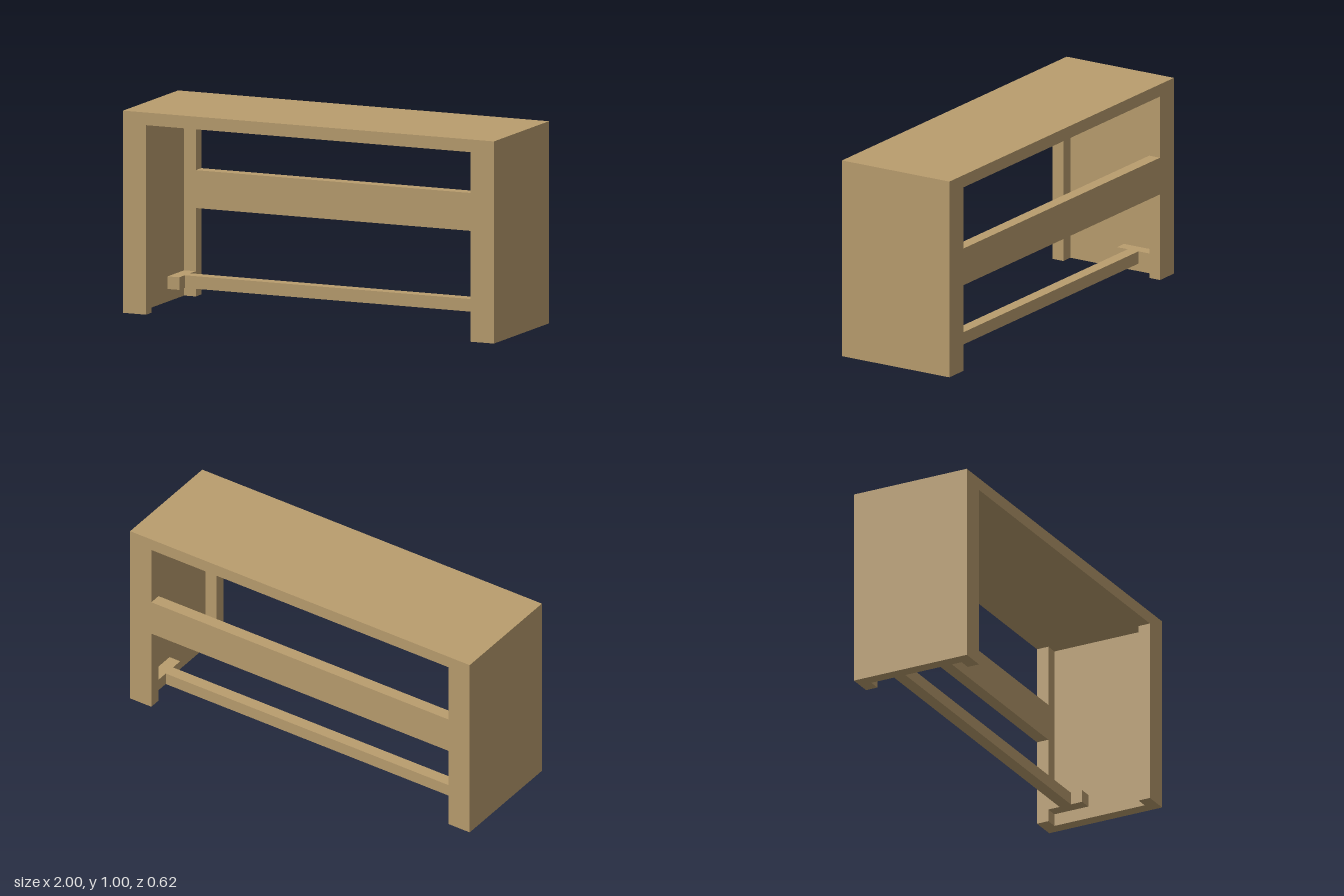
import * as THREE from 'three';

const T = 0.0625;           // board thickness
const D = 0.3125;           // half depth
const H = 1;                // overall height

export function createModel() {
  const model = new THREE.Group();
  model.name = 'benchFrame';
  const wood = new THREE.MeshStandardMaterial({ color: 0xb99d6e });
  wood.name = 'lightWood';

  // Box given by its minimum and maximum corners
  const board = (name, [x0, y0, z0], [x1, y1, z1]) => {
    const mesh = new THREE.Mesh(new THREE.BoxGeometry(x1 - x0, y1 - y0, z1 - z0), wood);
    mesh.position.set((x0 + x1) / 2, (y0 + y1) / 2, (z0 + z1) / 2);
    mesh.name = name;
    model.add(mesh);
  };

  // Top board
  board('topBoard', [-1, H - T, -D], [1, H, D]);

  // End panels: C-shaped section with inward lips at front and back
  const section = new THREE.Shape([
    [1, -D], [1, D], [1 - 2 * T, D], [1 - 2 * T, D - T],
    [1 - T, D - T], [1 - T, -D + T], [1 - 2 * T, -D + T], [1 - 2 * T, -D],
  ].map(([x, y]) => new THREE.Vector2(x, y)));
  const endGeometry = new THREE.ExtrudeGeometry(section, { depth: H - T, bevelEnabled: false });
  endGeometry.rotateX(-Math.PI / 2);
  for (const [name, turn] of [['leftEndPanel', 0], ['rightEndPanel', Math.PI]]) {
    const end = new THREE.Mesh(endGeometry, wood);
    end.rotation.y = turn;
    end.name = name;
    model.add(end);
  }

  // Back rail between the rear lips
  const inner = 1 - 2 * T;
  board('backRail', [-inner, 0.4375, -D], [inner, 0.625, -D + T]);

  // Low footrest bar with a short cross block at each end
  board('footBar', [-inner, T, -0.1875], [inner, 2 * T, -0.125]);
  board('leftFootBlock', [inner, T, -0.25], [1 - T, 2 * T, -0.0625]);
  board('rightFootBlock', [-1 + T, T, -0.25], [-inner, 2 * T, -0.0625]);

  return model;
}
